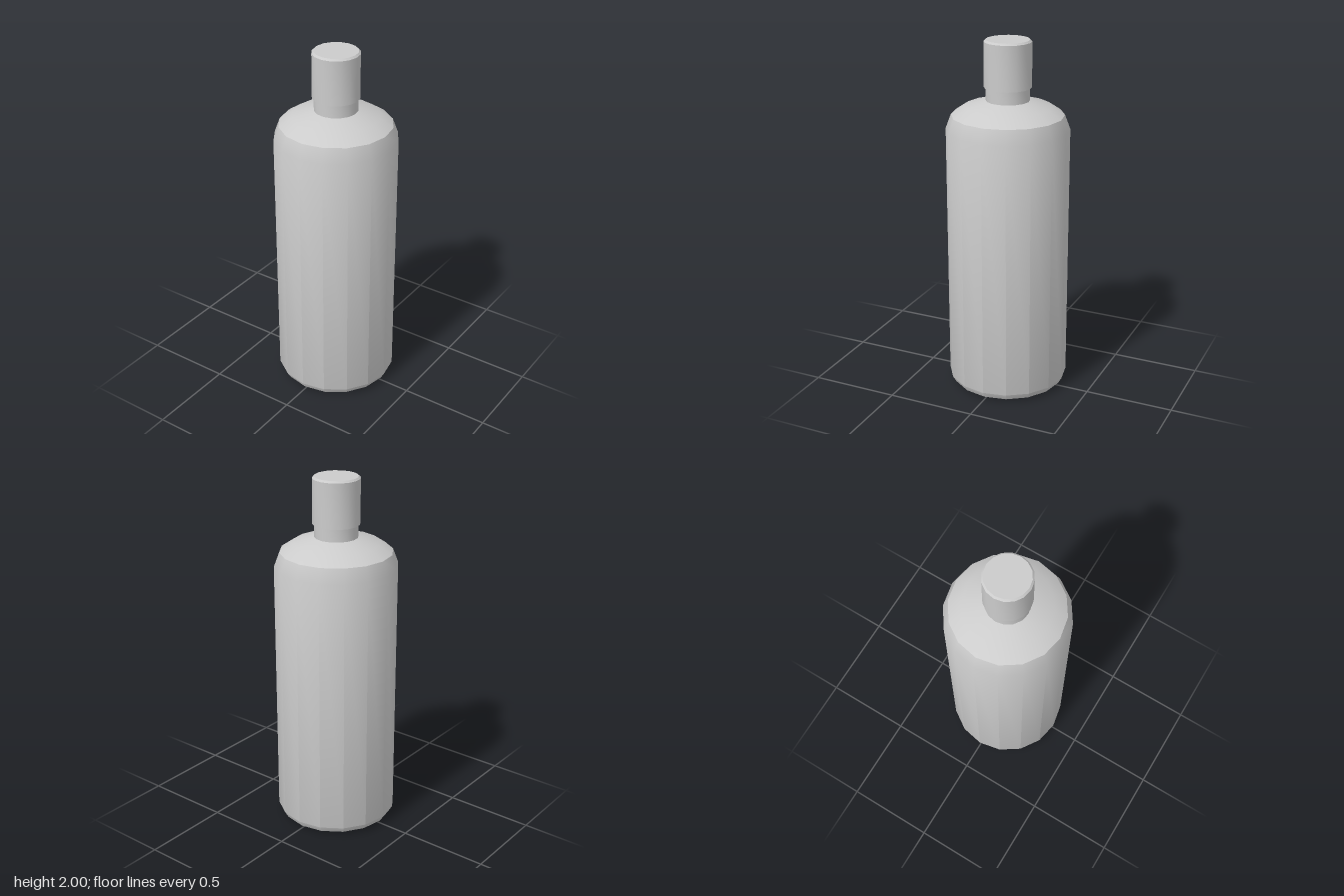
import * as THREE from 'three';
import { toCreasedNormals } from 'three/addons/utils/BufferGeometryUtils.js';

const SIDES = 16;

// Revolve a [radius, height] profile, listed from bottom to top
function turned(name, profile, material) {
  const points = profile.map(([r, y]) => new THREE.Vector2(r, y));
  const geometry = toCreasedNormals(new THREE.LatheGeometry(points, SIDES), Math.PI / 6);
  const mesh = new THREE.Mesh(geometry, material);
  mesh.name = name;
  return mesh;
}

export function createModel() {
  const group = new THREE.Group();
  group.name = 'bottle';
  const grey = new THREE.MeshStandardMaterial({ color: 0xcccccc });

  // Body with rounded base, sloping shoulder and short neck
  group.add(turned('body', [
    [0, 0], [0.29, 0], [0.32, 0.015], [0.34, 0.05],
    [0.34, 1.51], [0.31, 1.59], [0.24, 1.637], [0.12, 1.67],
    [0.12, 1.745],
  ], grey));

  // Cap, slightly wider than the neck, with a bevelled top edge
  group.add(turned('cap', [
    [0, 1.742], [0.13, 1.742], [0.13, 1.99], [0.12, 2], [0, 2],
  ], grey));

  return group;
}
